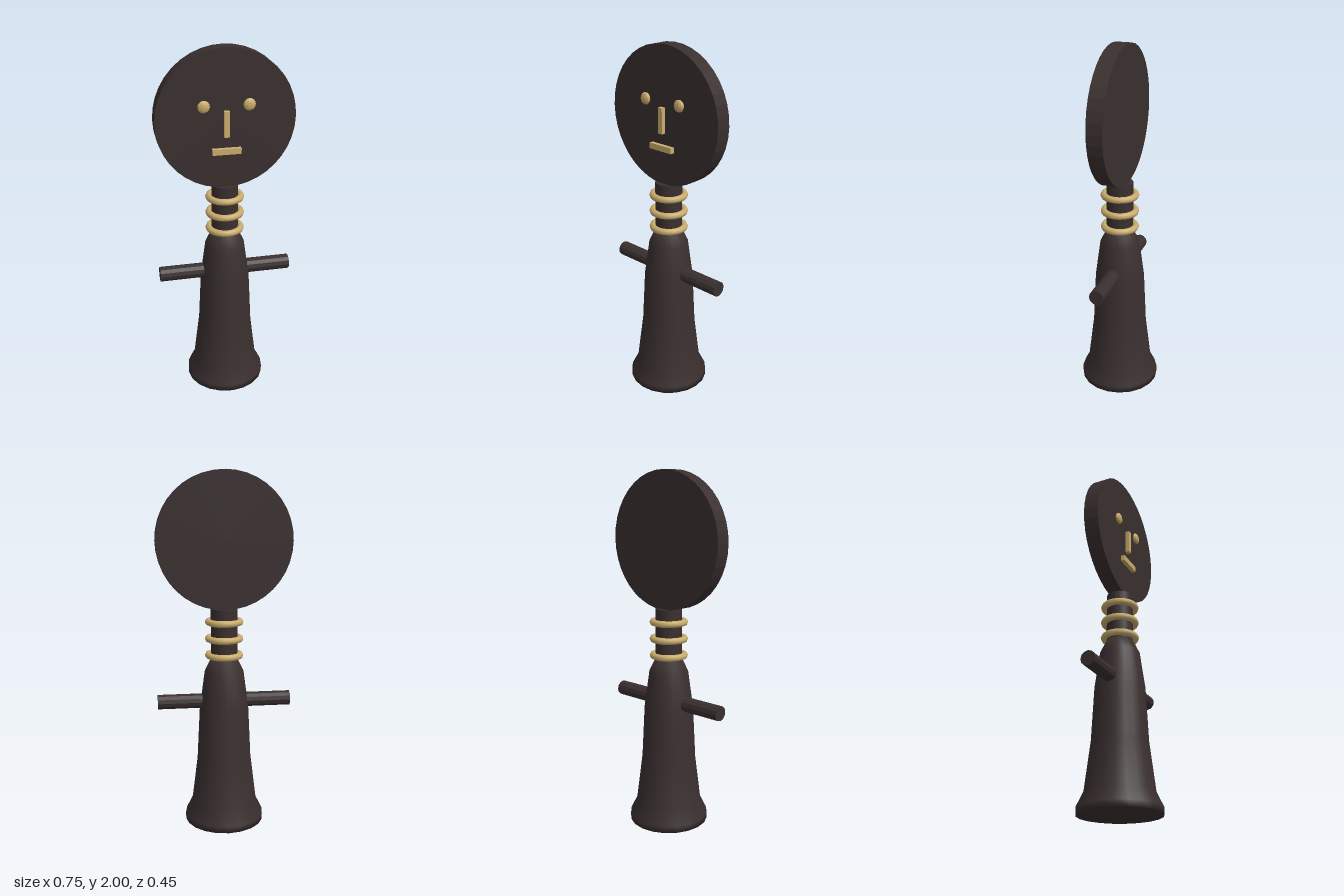
import * as THREE from 'three';

const wood = new THREE.MeshStandardMaterial({ color: 0x3a2f2f });
wood.name = 'dark wood';
const gold = new THREE.MeshStandardMaterial({ color: 0xcbad6d });
gold.name = 'pale gold';

// Gives a geometry flat facets
function faceted(geometry) {
  const flat = geometry.toNonIndexed();
  flat.computeVertexNormals();
  return flat;
}

export function createModel() {
  const model = new THREE.Group();
  model.name = 'discHeadedFigure';

  function add(name, geometry, material, x = 0, y = 0, z = 0) {
    const mesh = new THREE.Mesh(geometry, material);
    mesh.name = name;
    mesh.position.set(x, y, z);
    model.add(mesh);
    return mesh;
  }

  // Turned body with a flared foot
  const profile = [
    [0, 0], [0.226, 0], [0.226, 0.038], [0.188, 0.115], [0.155, 0.38],
    [0.14, 0.68], [0.111, 0.89], [0.075, 0.965], [0, 0.965],
  ].map(([r, y]) => new THREE.Vector2(r, y));
  add('body', new THREE.LatheGeometry(profile, 20), wood);

  // Neck and its three rings
  add('neck', new THREE.CylinderGeometry(0.075, 0.075, 0.31, 16), wood, 0, 1.095, 0);
  for (const y of [0.985, 1.08, 1.175]) {
    const ring = add('neckRing', new THREE.TorusGeometry(0.089, 0.019, 8, 24), gold, 0, y, 0);
    ring.rotation.x = Math.PI / 2;
  }

  // Straight bar forming both arms
  const arms = add('arms', faceted(new THREE.CylinderGeometry(0.042, 0.042, 0.755, 12)), wood, 0, 0.72, 0);
  arms.rotation.z = Math.PI / 2;

  // Disc head facing forward
  const head = add('head', faceted(new THREE.CylinderGeometry(0.377, 0.377, 0.086, 40)), wood, 0, 1.623, 0);
  head.rotation.x = Math.PI / 2;

  // Raised face
  for (const side of [-1, 1]) {
    const eye = add('eye', faceted(new THREE.SphereGeometry(0.033, 10, 8)), gold, side * 0.121, 1.703, 0.052);
    eye.scale.z = 0.5;
  }
  add('nose', new THREE.BoxGeometry(0.028, 0.14, 0.027), gold, 0, 1.605, 0.0535);
  add('mouth', new THREE.BoxGeometry(0.156, 0.032, 0.027), gold, 0, 1.456, 0.0535);

  return model;
}
